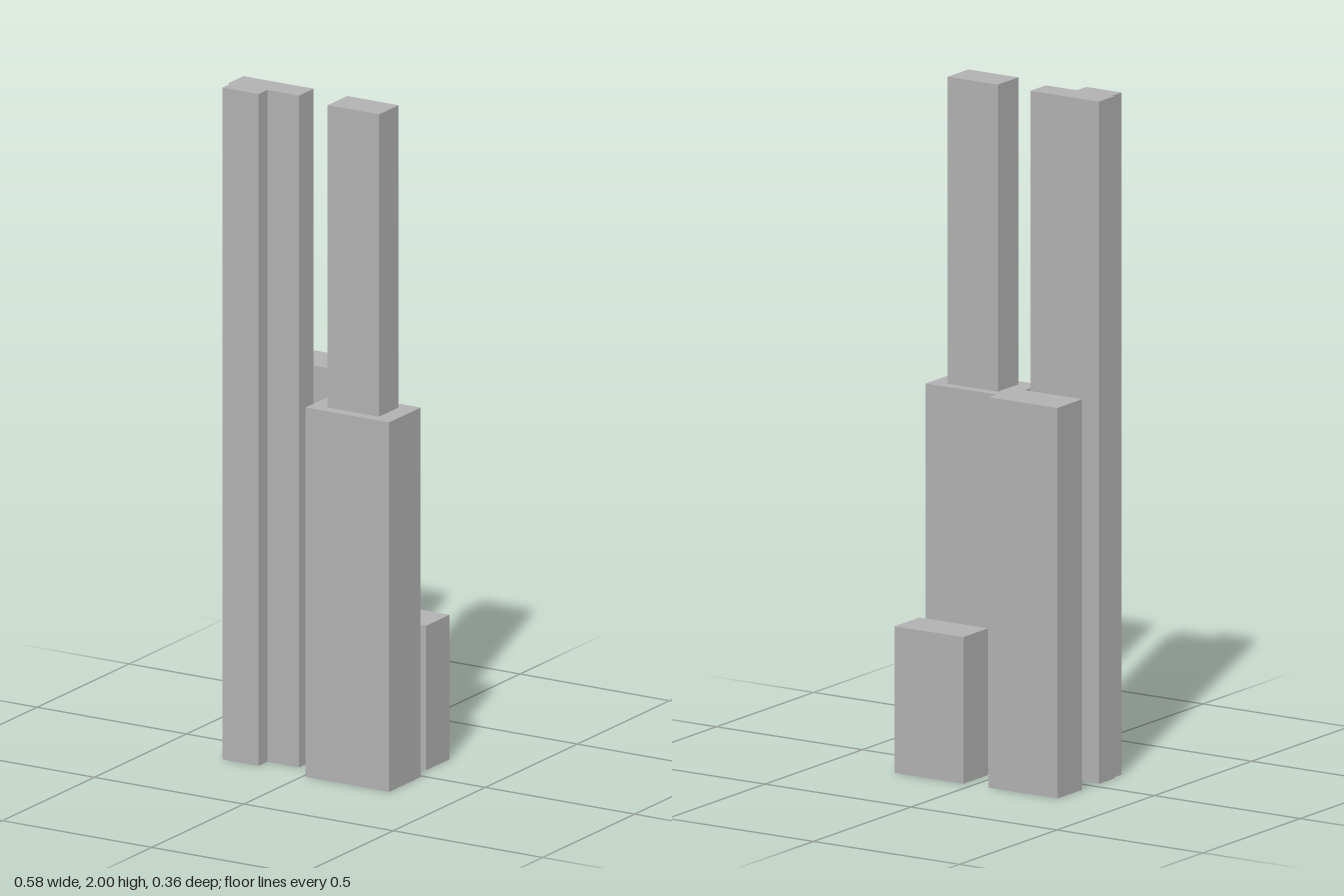
import * as THREE from 'three';

export function createModel() {
  const model = new THREE.Group();
  model.name = 'towerCluster';
  const concrete = new THREE.MeshStandardMaterial({ color: 0xb2b2b2 });
  concrete.name = 'concreteGrey';

  // Upright block spanning x0..x1, y0..y1, z0..z1
  function block(name, [x0, x1], [y0, y1], [z0, z1]) {
    const mesh = new THREE.Mesh(new THREE.BoxGeometry(x1 - x0, y1 - y0, z1 - z0), concrete);
    mesh.name = name;
    mesh.position.set((x0 + x1) / 2, (y0 + y1) / 2, (z0 + z1) / 2);
    model.add(mesh);
  }

  // Front left: broad podium with a slim tower on top
  block('podium', [0.01, 0.29], [0, 1.1], [0.01, 0.181]);
  block('podiumTower', [0.064, 0.236], [1.1, 2], [0.042, 0.148]);

  // Back row: medium and low blocks
  block('mediumBlock', [-0.29, -0.055], [0, 1.145], [-0.183, -0.055]);
  block('lowBlock', [0.032, 0.268], [0, 0.43], [-0.183, -0.055]);

  // Front right: tall tower with a stepped floor plan, drawn as (x, -z) and raised
  const plan = new THREE.Shape([
    [-0.29, 0.031], [-0.29, 0.111], [-0.282, 0.111], [-0.282, 0.159],
    [-0.161, 0.159], [-0.161, 0.111], [-0.055, 0.111], [-0.055, 0.031],
  ].map(([x, z]) => new THREE.Vector2(x, -z)));
  const geometry = new THREE.ExtrudeGeometry(plan, { depth: 2, bevelEnabled: false });
  geometry.rotateX(-Math.PI / 2);
  const tower = new THREE.Mesh(geometry, concrete);
  tower.name = 'steppedTower';
  model.add(tower);

  return model;
}
